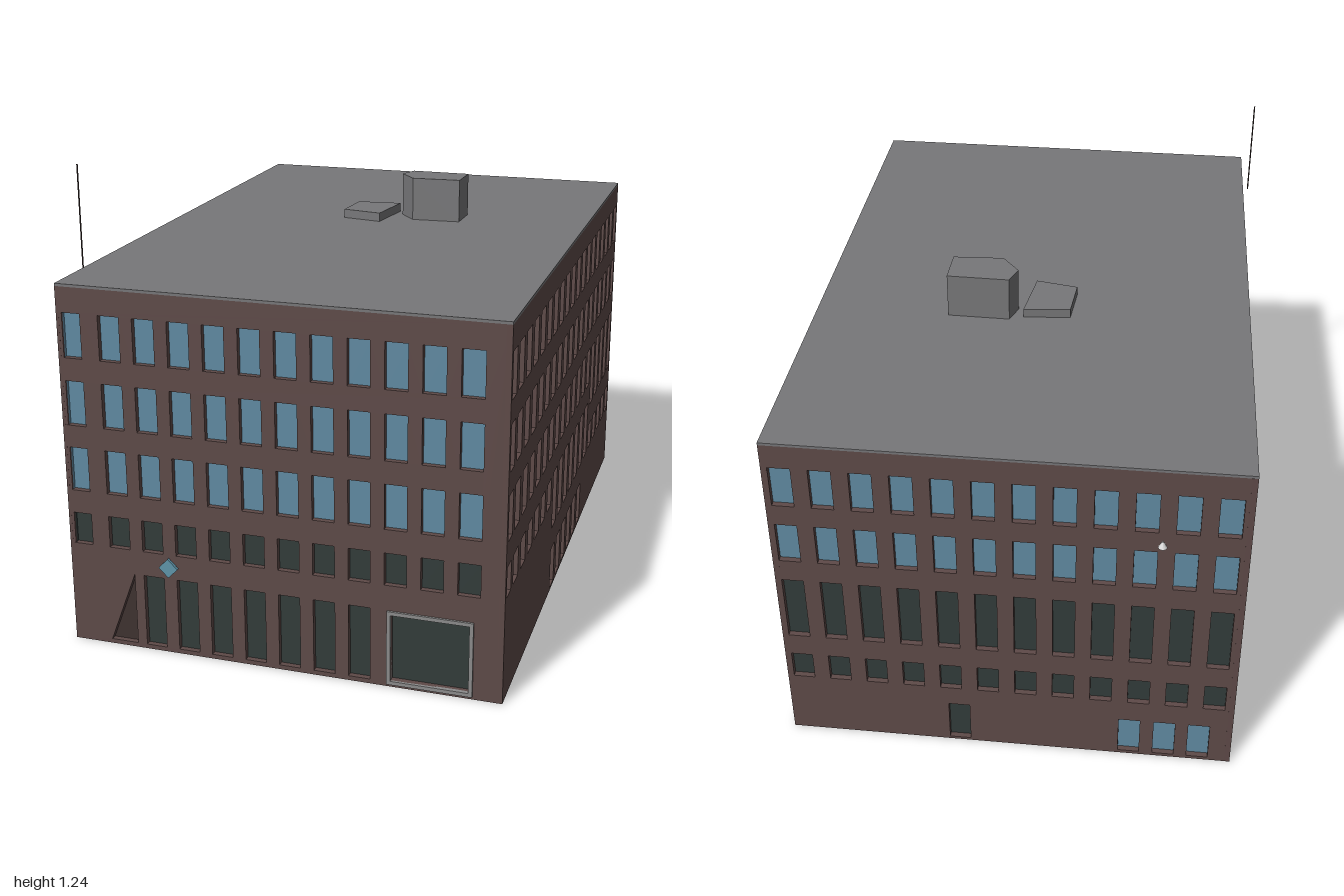
import * as THREE from 'three';

const mat = (name, color, side = THREE.FrontSide) => {
  const m = new THREE.MeshStandardMaterial({ color, side });
  m.name = name;
  return m;
};

export function createModel() {
  const brick = mat('brown brick', 0x5e4a48, THREE.DoubleSide);
  const roofGrey = mat('roof grey', 0x777779);
  const blue = mat('blue glass', 0x608aa2, THREE.DoubleSide);
  const dark = mat('dark glass', 0x323c3a, THREE.DoubleSide);
  const shade = mat('dark brown', 0x3f3230, THREE.DoubleSide);
  const trim = mat('light trim', 0x8c8c8c);
  const signBlue = mat('sign blue', 0x5f95aa);
  const white = mat('white', 0xd8d8d8);

  const H = 0.97, DEPTH = 0.015, W = 0.057;
  const model = new THREE.Group();
  model.name = 'officeBuilding';

  const add = (parent, name, geo, material, x = 0, y = 0, z = 0) => {
    const m = new THREE.Mesh(geo, material);
    m.name = name;
    m.position.set(x, y, z);
    parent.add(m);
    return m;
  };
  const shapeOf = pts => new THREE.Shape(pts.map(p => new THREE.Vector2(...p)));

  // Footprint corners [x, z]: front left, front right, back right, back left
  const A = [-0.25, 0.986], B = [0.844, 0.609], C = [0.289, -1], D = [-0.844, -0.608];
  const length = (p, q) => Math.hypot(q[0] - p[0], q[1] - p[1]);

  // Wall with openings [material, outline points]; local x runs along it, z points out
  function wall(name, p, q, openings) {
    const L = length(p, q);
    const g = new THREE.Group();
    g.name = name;
    g.position.set(p[0], 0, p[1]);
    g.rotation.y = Math.atan2(p[1] - q[1], q[0] - p[0]);
    const face = shapeOf([[0, 0], [L, 0], [L, H], [0, H]]);
    for (const [material, pts] of openings) {
      face.holes.push(new THREE.Path(pts.map(v => new THREE.Vector2(...v))));
      add(g, 'windowPane', new THREE.ShapeGeometry(shapeOf(pts)), material, 0, 0, -DEPTH);
    }
    const geo = new THREE.ExtrudeGeometry(face, { depth: DEPTH, bevelEnabled: false });
    add(g, 'wallFace', geo, brick, 0, 0, -DEPTH);
    model.add(g);
    return g;
  }
  const rect = (material, x0, x1, y0, y1) => [material, [[x0, y0], [x1, y0], [x1, y1], [x0, y1]]];
  // One row of windows over columns a..b
  const row = (cols, material, y0, y1, a = 0, b = cols.length - 1) =>
    cols.slice(a, b + 1).map(c => rect(material, c - W / 2, c + W / 2, y0, y1));
  const topRows = cols => [...row(cols, blue, 0.785, 0.903), ...row(cols, blue, 0.605, 0.724)];
  const columns = (first, second, step, n) =>
    Array.from({ length: n }, (_, i) => (i ? second + step * (i - 1) : first));

  const frontCols = columns(0.036, 0.142, 0.0926, 12);
  const sideCols = columns(0.034, 0.118, 0.0908, 19);
  const backCols = columns(0.045, 0.145, 0.1, 12);
  const leftLength = length(D, A);
  const leftCols = sideCols.map(c => leftLength - c);

  const front = wall('frontWall', A, B, [
    ...topRows(frontCols),
    ...row(frontCols, blue, 0.427, 0.545),
    ...row(frontCols, dark, 0.278, 0.364),
    ...row(frontCols, dark, 0.012, 0.21, 2, 8),
    [shade, [[0.105, 0.012], [0.18, 0.012], [0.18, 0.21]]],
    rect(dark, 0.872, 1.072, 0.018, 0.2),
  ]);

  wall('rightWall', B, C, [
    ...topRows(sideCols),
    ...row(sideCols, blue, 0.427, 0.545, 0, 13),
    ...row(sideCols, dark, 0.345, 0.538, 14),
    ...row(sideCols, dark, 0.28, 0.36, 0, 6),
    ...row(sideCols, dark, 0.195, 0.362, 7, 13),
    ...row(sideCols, dark, 0.195, 0.275, 14),
    ...row(sideCols, dark, 0.008, 0.128, 7, 12),
  ]);

  const back = wall('backWall', C, D, [
    ...topRows(backCols),
    ...row(backCols, dark, 0.345, 0.54),
    ...row(backCols, dark, 0.195, 0.278),
    ...row([0.465], dark, 0.008, 0.135),
    ...row([0.924, 1.018, 1.11], blue, 0.01, 0.128),
  ]);

  const left = wall('leftWall', D, A, [
    ...topRows(leftCols),
    ...row(leftCols, blue, 0.427, 0.545, 0, 12),
    ...row(leftCols, dark, 0.342, 0.543, 13),
    ...row(leftCols, dark, 0.278, 0.364, 0, 7),
    ...row(leftCols, dark, 0.188, 0.364, 8, 12),
    ...row(leftCols, dark, 0.188, 0.278, 13),
    ...row(leftCols, dark, 0.012, 0.21, 1, 7),
    ...row(leftCols, blue, 0.01, 0.127, 8),
  ]);

  // Light frame around the wide front opening
  for (const x of [0.867, 1.077]) add(front, 'gateFramePost', new THREE.BoxGeometry(0.01, 0.2, 0.012), trim, x, 0.109, 0);
  for (const y of [0.013, 0.205]) add(front, 'gateFrameRail', new THREE.BoxGeometry(0.22, 0.01, 0.012), trim, 0.972, y, 0);

  // Diamond signs
  for (const [parent, x] of [[front, 0.28], [left, 1.4]]) {
    const sign = add(parent, 'diamondSign', new THREE.BoxGeometry(0.037, 0.037, 0.008), signBlue, x, 0.245, 0.007);
    sign.rotation.z = Math.PI / 4;
  }

  // Small wall lamp on the back
  add(back, 'wallLamp', new THREE.ConeGeometry(0.012, 0.022, 8), white, 0.985, 0.762, 0.012);

  // Upright prism over an outline of [x, z] points
  function prism(name, pts, y0, y1) {
    const geo = new THREE.ExtrudeGeometry(shapeOf(pts.map(([x, z]) => [x, -z])), { depth: y1 - y0, bevelEnabled: false });
    geo.rotateX(-Math.PI / 2);
    add(model, name, geo, roofGrey, 0, y0, 0);
  }
  prism('roof', [A, B, C, D], H, 0.977);
  prism('roofHouse', [[-0.01, -0.238], [0.15, -0.29], [0.183, -0.19], [0.055, -0.138], [-0.01, -0.18]], 0.975, 1.1);
  prism('roofHatch', [[-0.156, -0.159], [-0.04, -0.212], [-0.008, -0.058], [-0.124, -0.042]], 0.975, 1.002);

  // Mast beside the roof edge
  add(model, 'mast', new THREE.CylinderGeometry(0.002, 0.002, 0.28, 6), shade, -0.333, 1.1, 0.81);

  return model;
}
